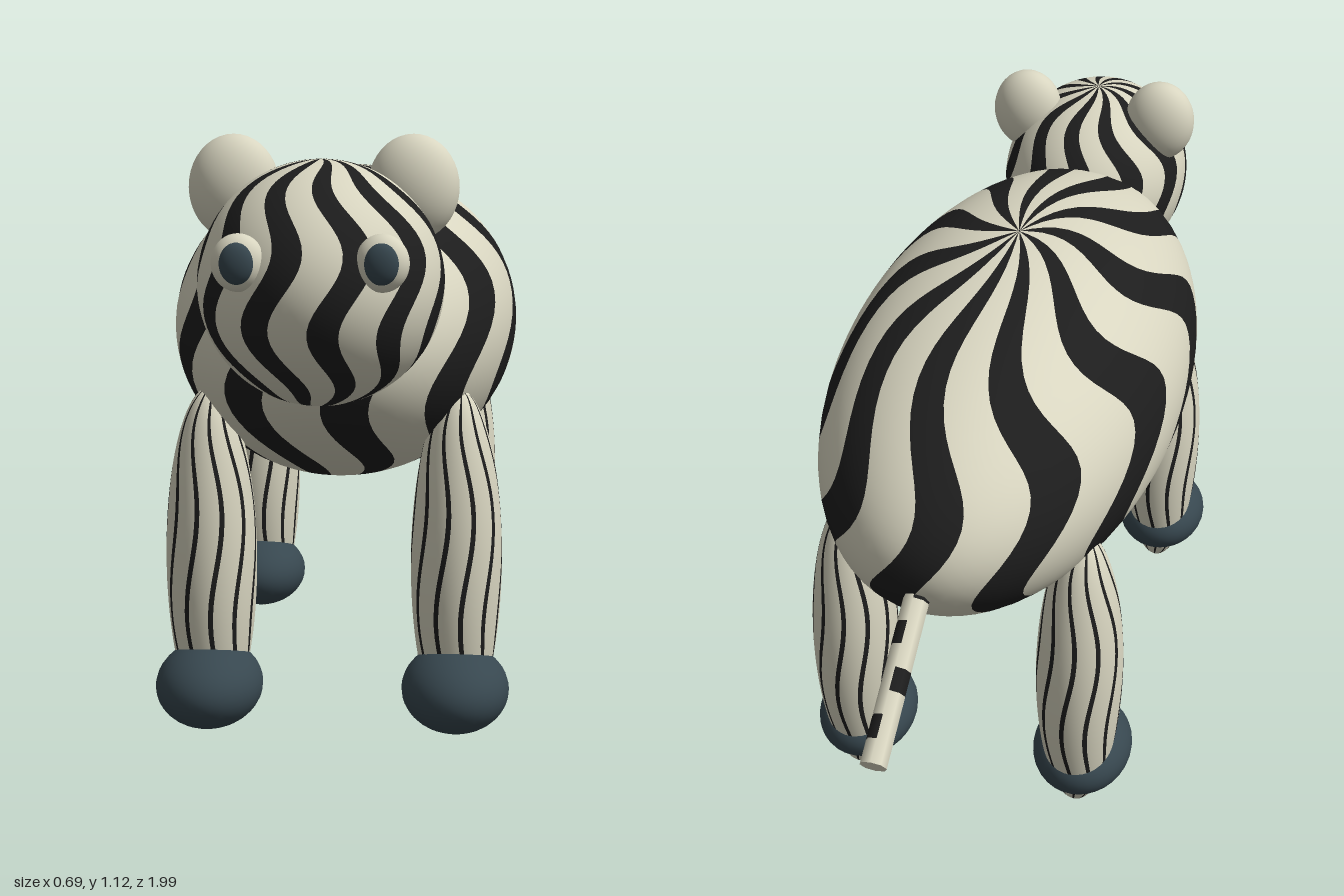
import * as THREE from 'three';

const cream = new THREE.MeshStandardMaterial({ color: 0xd8d5c0 });
cream.name = 'cream coat';
const black = new THREE.MeshStandardMaterial({ color: 0x1d1d1d });
black.name = 'black stripe';
const slate = new THREE.MeshStandardMaterial({ color: 0x37474f });
slate.name = 'slate hoof';

// Sort the triangles of an indexed geometry into cream (0) and black (1) groups
function paint(geo, isDark) {
  const lists = [[], []];
  const idx = geo.index.array;
  for (let t = 0; t < idx.length; t += 3) {
    lists[isDark(idx, t) ? 1 : 0].push(idx[t], idx[t + 1], idx[t + 2]);
  }
  geo.clearGroups();
  geo.setIndex([...lists[0], ...lists[1]]);
  geo.addGroup(0, lists[0].length, 0);
  geo.addGroup(lists[0].length, lists[1].length, 1);
  return geo;
}

// Ellipsoid whose columns follow wavy stripes running from pole to pole
function stripedEllipsoid(name, [rx, ry, rz], [x, y, z], duty) {
  const stripes = 11, per = 6, darkCols = 2, cols = stripes * per, rows = 48;
  const geo = new THREE.SphereGeometry(1, cols, rows);
  const pos = geo.attributes.position;
  for (let i = 0; i < pos.count; i++) {
    const c = i % (cols + 1), v = Math.floor(i / (cols + 1)) / rows;
    const k = c % per;
    const f = k <= darkCols
      ? duty * k / darkCols
      : duty + (1 - duty) * (k - darkCols) / (per - darkCols);
    const u = 0.472 + (Math.floor(c / per) + f - duty / 2) / stripes
      - 0.023 * Math.sin((v - 0.5) * 5 * Math.PI);
    const phi = u * 2 * Math.PI, s = Math.sin(v * Math.PI);
    pos.setXYZ(i, -Math.cos(phi) * s, Math.cos(v * Math.PI), Math.sin(phi) * s);
    geo.attributes.normal.setXYZ(i, pos.getX(i), pos.getY(i), pos.getZ(i));
  }
  paint(geo, (a, t) => {
    const col = Math.min(a[t] % (cols + 1), a[t + 1] % (cols + 1), a[t + 2] % (cols + 1));
    return col % per < darkCols;
  });
  geo.scale(rx, ry, rz);
  const mesh = new THREE.Mesh(geo, [cream, black]);
  mesh.name = name;
  mesh.position.set(x, y, z);
  return mesh;
}

// Plain single-colour ellipsoid
function ellipsoid(name, [rx, ry, rz], [x, y, z], material) {
  const geo = new THREE.SphereGeometry(1, 32, 20).scale(rx, ry, rz);
  const mesh = new THREE.Mesh(geo, material);
  mesh.name = name;
  mesh.position.set(x, y, z);
  return mesh;
}

// Thin straight tail with dark patches
function makeTail() {
  const start = new THREE.Vector3(0, 0.7, -0.69), end = new THREE.Vector3(0, 0.523, -0.984);
  const sides = 8, rows = 8, length = start.distanceTo(end);
  const geo = new THREE.CylinderGeometry(0.024, 0.024, length, sides, rows);
  const wallVerts = (sides + 1) * (rows + 1);
  paint(geo, (a, t) => {
    const v = [a[t], a[t + 1], a[t + 2]];
    if (Math.max(...v) >= wallVerts) return false;
    const side = Math.min(...v.map(i => i % (sides + 1)));
    const row = Math.min(...v.map(i => Math.floor(i / (sides + 1))));
    return (Math.floor(side / 2) * 2 + row) % 4 === 1;
  });
  const tail = new THREE.Mesh(geo, [cream, black]);
  tail.name = 'tail';
  tail.position.copy(start).add(end).multiplyScalar(0.5);
  tail.quaternion.setFromUnitVectors(
    new THREE.Vector3(0, 1, 0), end.clone().sub(start).normalize());
  return tail;
}

export function createModel() {
  const model = new THREE.Group();
  model.name = 'stripedAnimal';

  // Body, head and tail
  model.add(
    stripedEllipsoid('body', [0.347, 0.312, 0.74], [0, 0.742, 0], 0.44),
    stripedEllipsoid('head', [0.208, 0.207, 0.268], [0, 0.872, 0.73], 0.44),
    makeTail());

  for (const [side, s] of [['left', 1], ['right', -1]]) {
    // Ears and eyes
    model.add(
      ellipsoid(side + 'Ear', [0.078, 0.09, 0.06], [s * 0.153, 1.03, 0.68], cream),
      ellipsoid(side + 'Eye', [0.043, 0.046, 0.034], [s * 0.113, 0.922, 0.955], cream),
      ellipsoid(side + 'Pupil', [0.028, 0.033, 0.016], [s * 0.113, 0.922, 0.977], slate));

    // Legs, with hooves set slightly forward
    for (const [end, z] of [['Front', 0.462], ['Back', -0.42]]) {
      model.add(
        stripedEllipsoid(side + end + 'Leg', [0.085, 0.327, 0.096], [s * 0.23, 0.327, z], 0.2),
        ellipsoid(side + end + 'Hoof', [0.1, 0.079, 0.128], [s * 0.23, 0.098, z + 0.048], slate));
    }
  }
  return model;
}
